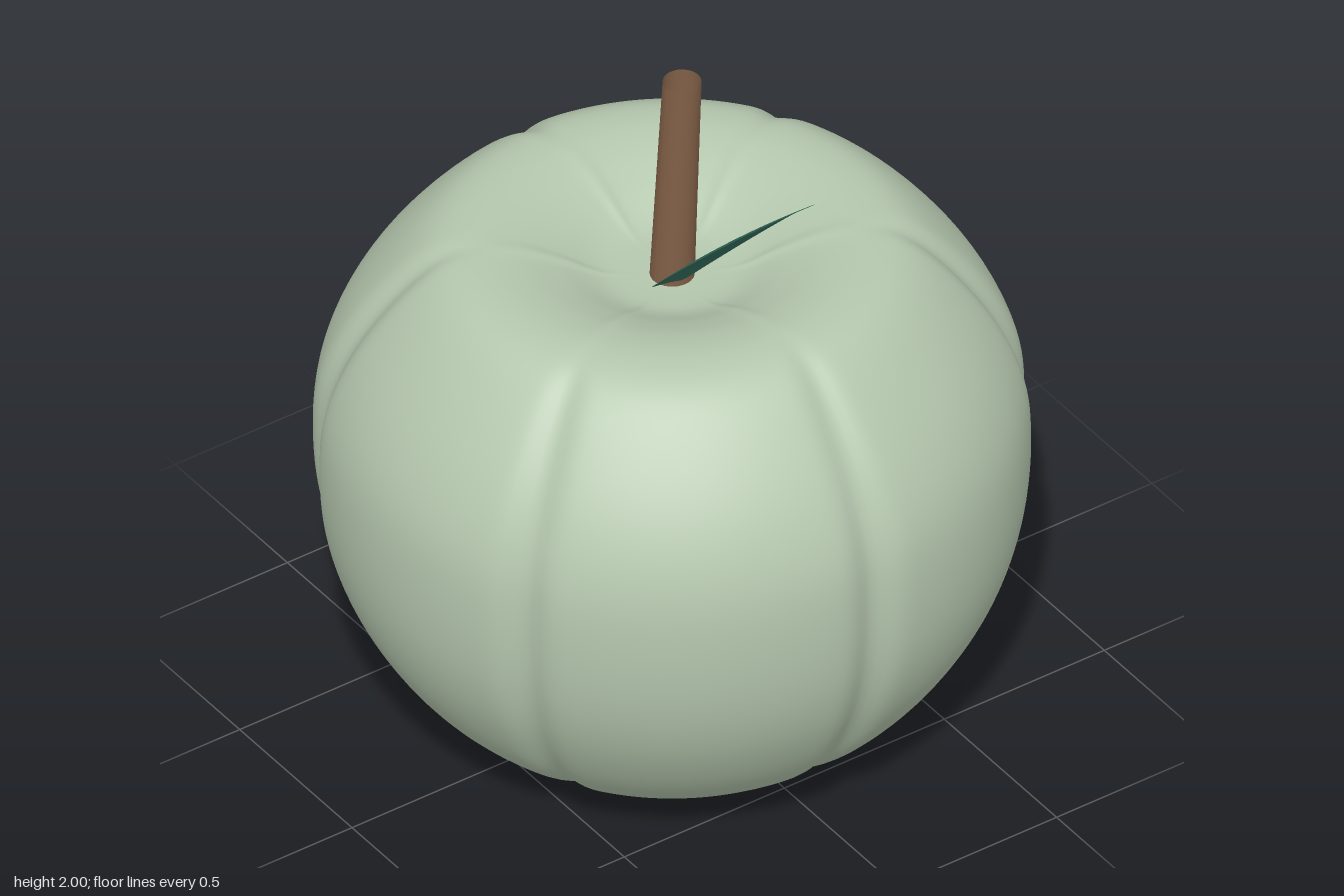
import * as THREE from 'three';
import { mergeVertices } from 'three/addons/utils/BufferGeometryUtils.js';

const skin = new THREE.MeshStandardMaterial({ color: 0xb5c7ae });
skin.name = 'sage skin';
const bark = new THREE.MeshStandardMaterial({ color: 0x836148, side: THREE.DoubleSide });
bark.name = 'brown bark';
const foliage = new THREE.MeshStandardMaterial({ color: 0x35705f, side: THREE.DoubleSide });
foliage.name = 'teal leaf';

// Lathed fruit with six narrow grooves pressed in radially
function makeBody() {
  const profile = [
    [0, 0.05], [0.15, 0.04], [0.28, 0.012], [0.38, 0.002], [0.5, 0.045], [0.69, 0.2],
    [0.825, 0.4], [0.896, 0.6], [0.92, 0.83], [0.902, 1.02], [0.825, 1.2], [0.68, 1.385],
    [0.59, 1.45], [0.5, 1.467], [0.4, 1.455], [0.3, 1.42], [0.18, 1.364], [0.1, 1.353], [0, 1.353],
  ];
  const curve = new THREE.CatmullRomCurve3(profile.map(([r, y]) => new THREE.Vector3(r, y, 0)));
  const points = curve.getPoints(110).map((p) => new THREE.Vector2(Math.max(p.x, 0), Math.max(p.y, 0)));
  let geometry = new THREE.LatheGeometry(points, 240);

  const pos = geometry.attributes.position;
  const step = Math.PI / 3;
  for (let i = 0; i < pos.count; i++) {
    const x = pos.getX(i), z = pos.getZ(i);
    const angle = Math.atan2(z, x);
    const d = angle - Math.round(angle / step) * step;
    const s = 1 - 0.034 * Math.exp(-((d / 0.06) ** 2));
    pos.setX(i, x * s);
    pos.setZ(i, z * s);
  }

  // Weld the seam so the shading stays smooth all round
  geometry.deleteAttribute('uv');
  geometry.deleteAttribute('normal');
  geometry = mergeVertices(geometry, 1e-5);
  geometry.computeVertexNormals();
  return new THREE.Mesh(geometry, skin);
}

// Hollow, slightly leaning stem, cut level at both ends
function makeStem() {
  const low = 1.34, high = 2;
  const geometry = new THREE.CylinderGeometry(0.05, 0.058, high - low, 32, 1, true);
  geometry.translate(0, (low + high) / 2, 0);
  const pos = geometry.attributes.position;
  for (let i = 0; i < pos.count; i++) {
    pos.setX(i, pos.getX(i) + (pos.getY(i) - low) * 0.068);
  }
  geometry.computeVertexNormals();
  return new THREE.Mesh(geometry, bark);
}

// Lopsided leaf blade, rising outward and drooping at its edges
function makeLeaf() {
  const geometry = new THREE.PlaneGeometry(1, 1, 36, 16);
  const pos = geometry.attributes.position;
  for (let i = 0; i < pos.count; i++) {
    const t = pos.getX(i) + 0.5;
    const v = 0.5 - pos.getY(i);
    const width = Math.sin(Math.PI * t);
    const z = width * THREE.MathUtils.lerp(-0.095, 0.272, v);
    const lift = 0.02 * width - 0.3 * z * z;
    pos.setXYZ(i, 0.05 + 0.59 * t - lift * 0.7, 1.36 + 0.62 * t + lift * 0.7, z);
  }
  geometry.computeVertexNormals();
  return new THREE.Mesh(geometry, foliage);
}

export function createModel() {
  const model = new THREE.Group();
  model.name = 'fruit';
  const parts = { body: makeBody(), stem: makeStem(), leaf: makeLeaf() };
  for (const [name, mesh] of Object.entries(parts)) {
    mesh.name = name;
    model.add(mesh);
  }
  return model;
}
